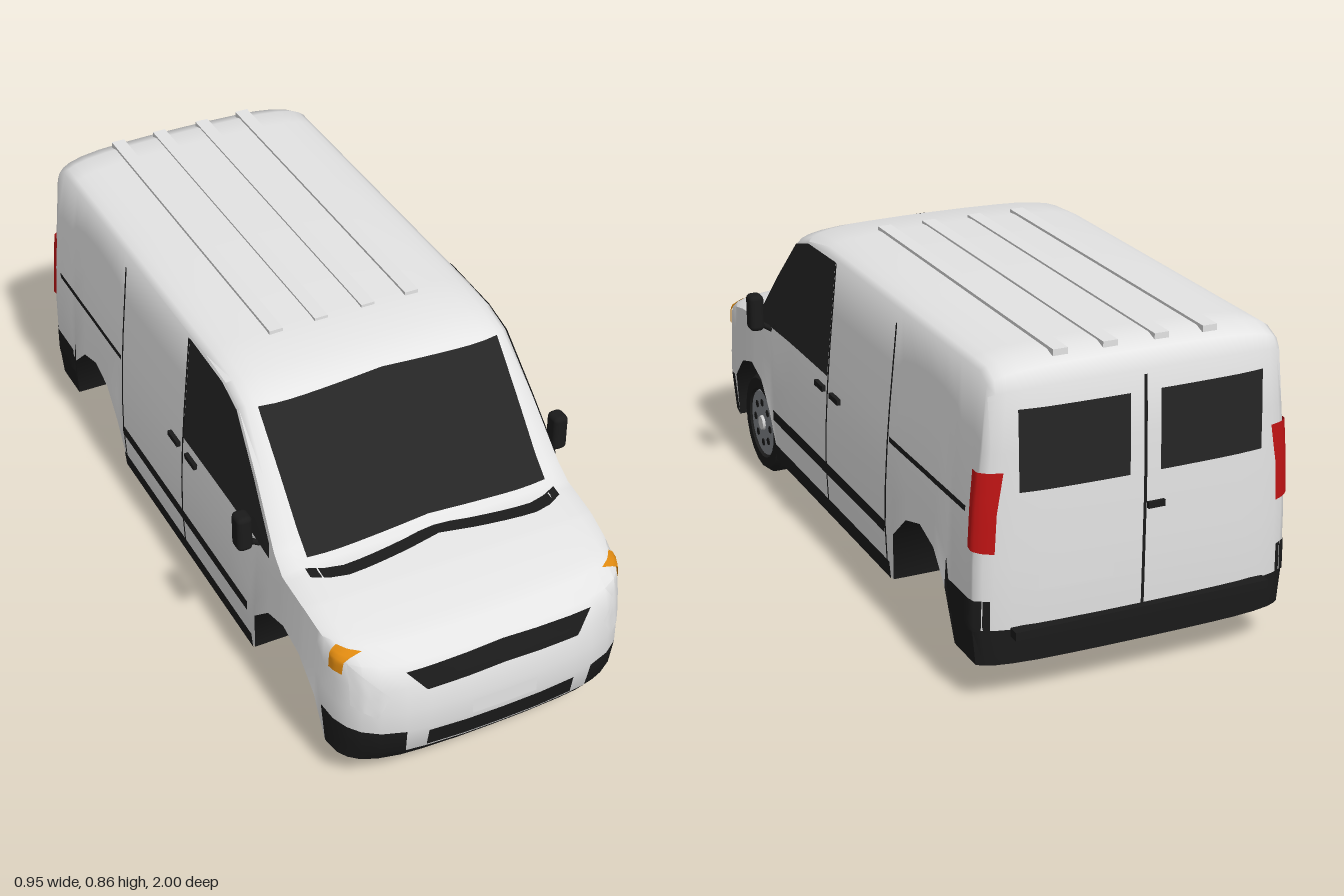
import * as THREE from 'three';
import { toCreasedNormals } from 'three/addons/utils/BufferGeometryUtils.js';
import { RoundedBoxGeometry } from 'three/addons/geometries/RoundedBoxGeometry.js';

const mat = (name, color, side = THREE.FrontSide) => {
  const m = new THREE.MeshStandardMaterial({ color, side });
  m.name = name;
  return m;
};

// Linear lookup in a table whose rows start with the key
function look(table, k) {
  let i = 0;
  while (i < table.length - 2 && k > table[i + 1][0]) i++;
  const a = table[i], b = table[i + 1];
  const t = (k - a[0]) / (b[0] - a[0]);
  return a.map((v, n) => v + (b[n] - v) * t);
}

// Half width of the body by height, narrowing towards the nose
const WIDTH = [[0.1, 0.41], [0.25, 0.424], [0.5, 0.41], [0.86, 0.374]];
const halfWidth = (y, z) =>
  look(WIDTH, y)[1] * (1 - 0.05 * Math.max(0, (z - 0.6) / 0.26) ** 2);

// Top line: edge z, edge y, centre z, centre y
const TOP = [
  [-0.93, 0.78, -0.965, 0.8], [-0.92, 0.805, -0.945, 0.842], [-0.88, 0.825, -0.89, 0.86],
  [0.1, 0.825, 0.1, 0.86], [0.22, 0.818, 0.25, 0.847], [0.3, 0.793, 0.33, 0.82],
  [0.43, 0.66, 0.46, 0.675], [0.55, 0.525, 0.575, 0.545], [0.6, 0.49, 0.62, 0.517],
  [0.72, 0.475, 0.75, 0.497], [0.8, 0.455, 0.9, 0.46], [0.86, 0.43, 0.965, 0.428],
];
// Bottom line with both wheel arches: z, y
const ARCH = [[-0.19, 0.11], [-0.16, 0.25], [-0.085, 0.32], [0, 0.345], [0.085, 0.32], [0.16, 0.25], [0.19, 0.11]];
const BOTTOM = [[-0.93, 0.11], ...[-0.62, 0.62].flatMap(c => ARCH.map(([z, y]) => [c + z, y])), [0.86, 0.11]];
const LEVELS = [0, 0.14, 0.38, 0.58, 0.8, 1];
const REAR_Z = [-0.97, -0.98, -0.98, -0.98, -0.975, -0.965];
const NOSE_Z = [0.95, 0.985, 1, 1, 0.99, 0.965];
// Columns across the body: fraction of width, share of the edge rounding
const HALF = [[0, 0], [0.25, 0.01], [0.5, 0.06], [0.65, 0.12], [0.8, 0.27], [0.9, 0.47], [0.96, 0.7], [1, 1]];
const COLS = [...HALF.slice(1).reverse().map(([f, m]) => [-f, m]), ...HALF];

function bodyGeometry() {
  const paint = [], dark = [];
  const quad = (isDark, a, b, c, d) => {
    for (const p of [a, b, c, a, c, d]) (isDark ? dark : paint).push(...p);
  };
  const stations = [...new Set([...TOP, ...BOTTOM].map(p => +p[0].toFixed(3)))].sort((a, b) => a - b);

  // Skin running from the rear, over the roof, down to the nose
  const rows = [[-0.93, 0.11, -0.93, 0.11]];
  LEVELS.forEach((v, i) => {
    const y = 0.11 + 0.67 * v;
    rows.push([-0.93, y, REAR_Z[i], i === 5 ? 0.8 : y]);
  });
  stations.slice(1, -1).forEach(z => rows.push(look(TOP, z)));
  for (let i = 5; i >= 0; i--) {
    const y = 0.11 + 0.32 * LEVELS[i];
    rows.push([0.86, y, NOSE_Z[i], y]);
  }
  rows.push([0.86, 0.11, 0.86, 0.11]);
  const skin = rows.map(([ez, ey, z, y]) => COLS.map(([f, m]) =>
    [f * halfWidth(ey, ez), y + (ey - y) * m, z + (ez - z) * m]));
  const last = rows.length - 2;
  for (let r = 0; r <= last; r++) for (let c = 0; c < COLS.length - 1; c++) {
    const outer = Math.min(Math.abs(COLS[c][0]), Math.abs(COLS[c + 1][0])) >= 0.65;
    const isDark = r <= 1 || r >= last - 1 || (r === last - 2 && outer);
    quad(isDark, skin[r][c], skin[r + 1][c], skin[r + 1][c + 1], skin[r][c + 1]);
  }

  // Flanks and underside
  const flank = s => stations.map(z => {
    const low = look(BOTTOM, z)[1], high = look(TOP, z)[1];
    return LEVELS.map(v => {
      const y = low + (high - low) * v;
      return [s * halfWidth(y, z), y, z];
    });
  });
  const L = flank(1), R = flank(-1);
  for (let j = 0; j < stations.length - 1; j++) {
    for (let i = 0; i < LEVELS.length - 1; i++) {
      const z = stations[j];
      const isDark = (z > 0.8 && i < 2) || (z < -0.8 && i < 1);
      quad(isDark, L[j][i], L[j][i + 1], L[j + 1][i + 1], L[j + 1][i]);
      quad(isDark, R[j][i], R[j + 1][i], R[j + 1][i + 1], R[j][i + 1]);
    }
    quad(true, R[j][0], L[j][0], L[j + 1][0], R[j + 1][0]);
  }
  const g = new THREE.BufferGeometry();
  g.setAttribute('position', new THREE.Float32BufferAttribute([...paint, ...dark], 3));
  g.addGroup(0, paint.length / 3, 0);
  g.addGroup(paint.length / 3, dark.length / 3, 1);
  return toCreasedNormals(g, 0.9);
}

export function createModel() {
  const van = new THREE.Group();
  van.name = 'van';
  const white = mat('white paint', 0xe4e4e4, THREE.DoubleSide);
  const black = mat('black trim', 0x1b1b1b, THREE.DoubleSide);
  const glass = mat('dark glass', 0x252525, THREE.DoubleSide);
  const orange = mat('orange lens', 0xe08a10, THREE.DoubleSide);
  const red = mat('red lens', 0xc01414, THREE.DoubleSide);
  const alloy = mat('grey alloy', 0x85888d);
  const hubGrey = mat('light hub', 0xd0d0d0);

  const add = (name, geometry, material, x = 0, y = 0, z = 0, parent = van) => {
    const m = new THREE.Mesh(geometry, material);
    m.name = name;
    m.position.set(x, y, z);
    parent.add(m);
    return m;
  };
  const box = (name, m, w, h, d, x, y, z) => add(name, new THREE.BoxGeometry(w, h, d), m, x, y, z);
  const body = add('body', bodyGeometry(), [white, black]);

  // Thin panel between two outlines, laid onto the body from one direction
  const ray = new THREE.Raycaster();
  const DIRS = { front: [0, 0, 1], back: [0, 0, -1], left: [1, 0, 0], right: [-1, 0, 0] };
  function panel(name, material, from, lower, upper, lift = 0.005) {
    const out = new THREE.Vector3(...DIRS[from]);
    const n = (lower.length - 1) * 8, m = 6, pos = [], idx = [];
    const at = (line, t) => {
      const i = Math.min(Math.floor(t), line.length - 2);
      return line[i].map((v, k) => v + (line[i + 1][k] - v) * (t - i));
    };
    for (let i = 0; i <= n; i++) for (let j = 0; j <= m; j++) {
      const p = at(lower, i / 8), q = at(upper, i / 8);
      const a = p[0] + (q[0] - p[0]) * j / m, y = p[1] + (q[1] - p[1]) * j / m;
      const o = out.x ? new THREE.Vector3(2 * out.x, y, a) : new THREE.Vector3(a, y, 2 * out.z);
      ray.set(o, out.clone().negate());
      const hit = ray.intersectObject(body)[0];
      const v = hit ? hit.point : o.setComponent(out.x ? 0 : 2, (out.x || out.z) * (out.x ? 0.38 : 0.9));
      v.addScaledVector(out, lift);
      pos.push(v.x, v.y, v.z);
      if (i < n && j < m) {
        const k = i * (m + 1) + j, e = k + m + 1;
        if (from === 'front' || from === 'right') idx.push(k, e, e + 1, k, e + 1, k + 1);
        else idx.push(k, e + 1, e, k, k + 1, e + 1);
      }
    }
    const g = new THREE.BufferGeometry();
    g.setAttribute('position', new THREE.Float32BufferAttribute(pos, 3));
    g.setIndex(idx);
    g.computeVertexNormals();
    add(name, g, material);
  }
  const rect = (name, m, from, a0, a1, y0, y1, lift) =>
    panel(name, m, from, [[a0, y0], [a1, y0]], [[a0, y1], [a1, y1]], lift);

  // Front
  panel('windshield', glass, 'front', [[-0.34, 0.522], [0, 0.535], [0.34, 0.522]], [[-0.34, 0.803], [0, 0.82], [0.34, 0.803]]);
  panel('cowlSeal', black, 'front', [[-0.355, 0.502], [0, 0.513], [0.355, 0.502]], [[-0.355, 0.507], [0, 0.518], [0.355, 0.507]]);
  panel('upperGrille', black, 'front', [[-0.21, 0.357], [0, 0.366], [0.21, 0.357]], [[-0.258, 0.412], [0, 0.424], [0.258, 0.412]]);
  rect('lowerGrille', black, 'front', -0.205, 0.205, 0.165, 0.222, 0.004);
  rect('frontPlate', white, 'front', -0.09, 0.09, 0.238, 0.282, 0.004);

  // Rear
  for (const s of [-1, 1]) rect('rearWindow', glass, 'back', s * 0.04, s * 0.32, 0.55, 0.75);
  rect('rearDoorSeam', black, 'back', -0.004, 0.004, 0.2, 0.79);
  rect('rearPlate', white, 'back', 0.08, 0.27, 0.3, 0.355);
  box('rearHandle', black, 0.045, 0.016, 0.012, -0.03, 0.465, -0.983);
  box('rearStep', black, 0.68, 0.022, 0.03, 0, 0.2, -0.985);

  // Flanks, the same on both sides
  for (const [side, s] of [['left', 1], ['right', -1]]) {
    panel('cabWindow', glass, side, [[0.535, 0.5], [0.45, 0.505], [0.3, 0.51], [0.2, 0.51], [0.01, 0.51]],
      [[0.53, 0.54], [0.425, 0.66], [0.3, 0.79], [0.21, 0.816], [0.01, 0.822]]);
    rect('sill', black, side, -0.425, 0.43, 0.112, 0.16);
    rect('rubStrip', black, side, -0.41, 0.42, 0.237, 0.268, 0.007);
    rect('cabDoorSeam', black, side, 0.001, 0.009, 0.15, 0.82);
    rect('slideDoorSeam', black, side, -0.414, -0.406, 0.15, 0.79);
    rect('slideRail', black, side, -0.88, -0.42, 0.485, 0.499);
    for (const z of [0.06, -0.05]) box('doorHandle', black, 0.014, 0.015, 0.06, s * 0.415, 0.467, z);
    rect('rearBumperCorner', black, side, -0.955, -0.795, 0.2, 0.28);
    panel('tailLamp', red, side, [[-0.958, 0.4], [-0.91, 0.41]], [[-0.958, 0.6], [-0.905, 0.6]], 0.008);
    panel('cornerLamp', orange, side, [[0.84, 0.392], [0.885, 0.395]], [[0.84, 0.455], [0.885, 0.45]], 0.006);
    panel('headlamp', white, 'front', [[s * 0.33, 0.285], [s * 0.38, 0.31]], [[s * 0.3, 0.35], [s * 0.38, 0.43]], 0.003);

    // Door mirror
    add('mirror', new RoundedBoxGeometry(0.042, 0.105, 0.05, 2, 0.014), black, s * 0.454, 0.552, 0.465);
    const arm = add('mirrorArm', new THREE.CylinderGeometry(0.008, 0.008, 0.06, 8), black, s * 0.424, 0.505, 0.465);
    arm.rotation.z = -s * 1;
  }

  // Raised roof ribs
  for (const x of [-0.195, -0.067, 0.067, 0.195]) box('roofRib', white, 0.038, 0.016, 1.05, x, 0.857, -0.395);

  // Front left wheel
  const wheel = new THREE.Group();
  wheel.name = 'frontWheel';
  wheel.position.set(0.348, 0.15, 0.62);
  wheel.rotation.z = -Math.PI / 2;
  van.add(wheel);
  const tyre = [[0, -0.047], [0.125, -0.047], [0.148, -0.03], [0.148, 0.03], [0.135, 0.047], [0.105, 0.047], [0.1, 0.034], [0, 0.034]];
  const tyreGeo = new THREE.LatheGeometry(tyre.map(p => new THREE.Vector2(...p)), 20);
  add('tyre', toCreasedNormals(tyreGeo, 0.6), black, 0, 0, 0, wheel);
  add('rim', new THREE.CylinderGeometry(0.096, 0.101, 0.012, 24), alloy, 0, 0.036, 0, wheel);
  add('hub', new THREE.CylinderGeometry(0.02, 0.024, 0.012, 16), hubGrey, 0, 0.044, 0, wheel);
  for (let i = 0; i < 8; i++) {
    const a = i * Math.PI / 4;
    add('rimHole', new THREE.CylinderGeometry(0.011, 0.011, 0.004, 10), black,
      0.062 * Math.cos(a), 0.0425, 0.062 * Math.sin(a), wheel);
  }
  return van;
}
